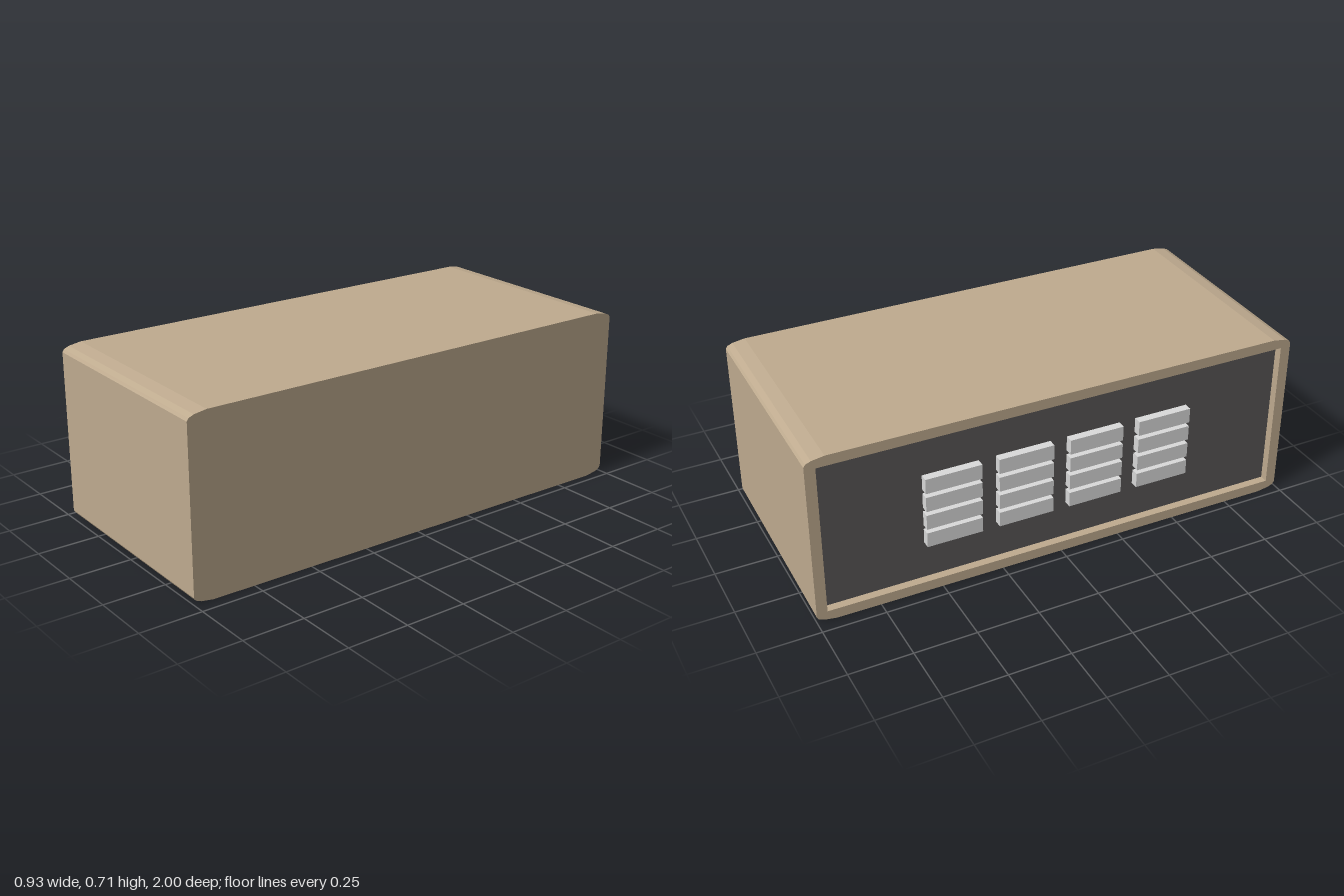
import * as THREE from 'three';

const HALF_L = 0.9955, HALF_W = 0.456, HEIGHT = 0.71, RECESS = 0.037, RIM = 0.042;

const material = (name, color) => {
  const m = new THREE.MeshStandardMaterial({ color });
  m.name = name;
  return m;
};

// Side outline with soft end corners, drawn along the length
function outline() {
  const corner = [[0, 0.028], [0.007, 0.017], [0.028, 0.008], [0.078, 0]];
  const pts = [];
  const add = (sx, top, list) => list.forEach(([a, b]) =>
    pts.push(new THREE.Vector2(sx * (HALF_L - a), top ? HEIGHT - b : b)));
  const reversed = [...corner].reverse();
  add(1, false, reversed);
  add(1, true, corner);
  add(-1, true, reversed);
  add(-1, false, corner);
  return new THREE.Shape(pts);
}

// Extrude a side outline across the width, from x0 to x1
function slab(shape, x0, x1) {
  return new THREE.ExtrudeGeometry(shape, { depth: x1 - x0, bevelEnabled: false })
    .rotateY(Math.PI / 2)
    .translate(x0, 0, 0);
}

export function createModel() {
  const model = new THREE.Group();
  const casing = new THREE.Group();
  casing.name = 'casing';
  casing.rotation.y = -0.0097; // stands very slightly askew
  model.add(casing);

  const tan = material('tan', 0xbfab8f);
  const charcoal = material('charcoal', 0x5a5756);
  const lightGrey = material('lightGrey', 0xdadada);

  const add = (name, geometry, mat, parent = casing) => {
    const mesh = new THREE.Mesh(geometry, mat);
    mesh.name = name;
    parent.add(mesh);
    return mesh;
  };

  // Solid body behind the recess
  const floorX = -HALF_W + RECESS;
  add('body', slab(outline(), floorX, HALF_W), tan);

  // Raised rim around the recessed side
  const rim = outline();
  const a = HALF_L - RIM, b = RIM, c = HEIGHT - RIM;
  rim.holes.push(new THREE.Path([
    new THREE.Vector2(-a, b), new THREE.Vector2(-a, c),
    new THREE.Vector2(a, c), new THREE.Vector2(a, b),
  ]));
  add('rim', slab(rim, -HALF_W, floorX), tan);

  // Dark panel at the bottom of the recess
  add('panel', new THREE.BoxGeometry(0.004, c - b, 2 * a)
    .translate(floorX - 0.002, HEIGHT / 2, 0), charcoal);

  // Four by four grid of keys, level with the rim
  const keys = new THREE.Group();
  keys.name = 'keys';
  casing.add(keys);
  const keyGeometry = new THREE.BoxGeometry(RECESS, 0.062, 0.225);
  for (let row = 0; row < 4; row++) {
    for (let col = 0; col < 4; col++) {
      add('key', keyGeometry, lightGrey, keys).position.set(
        floorX - RECESS / 2, HEIGHT / 2 - 0.005 + (row - 1.5) * 0.079, (col - 1.5) * 0.294);
    }
  }
  return model;
}
